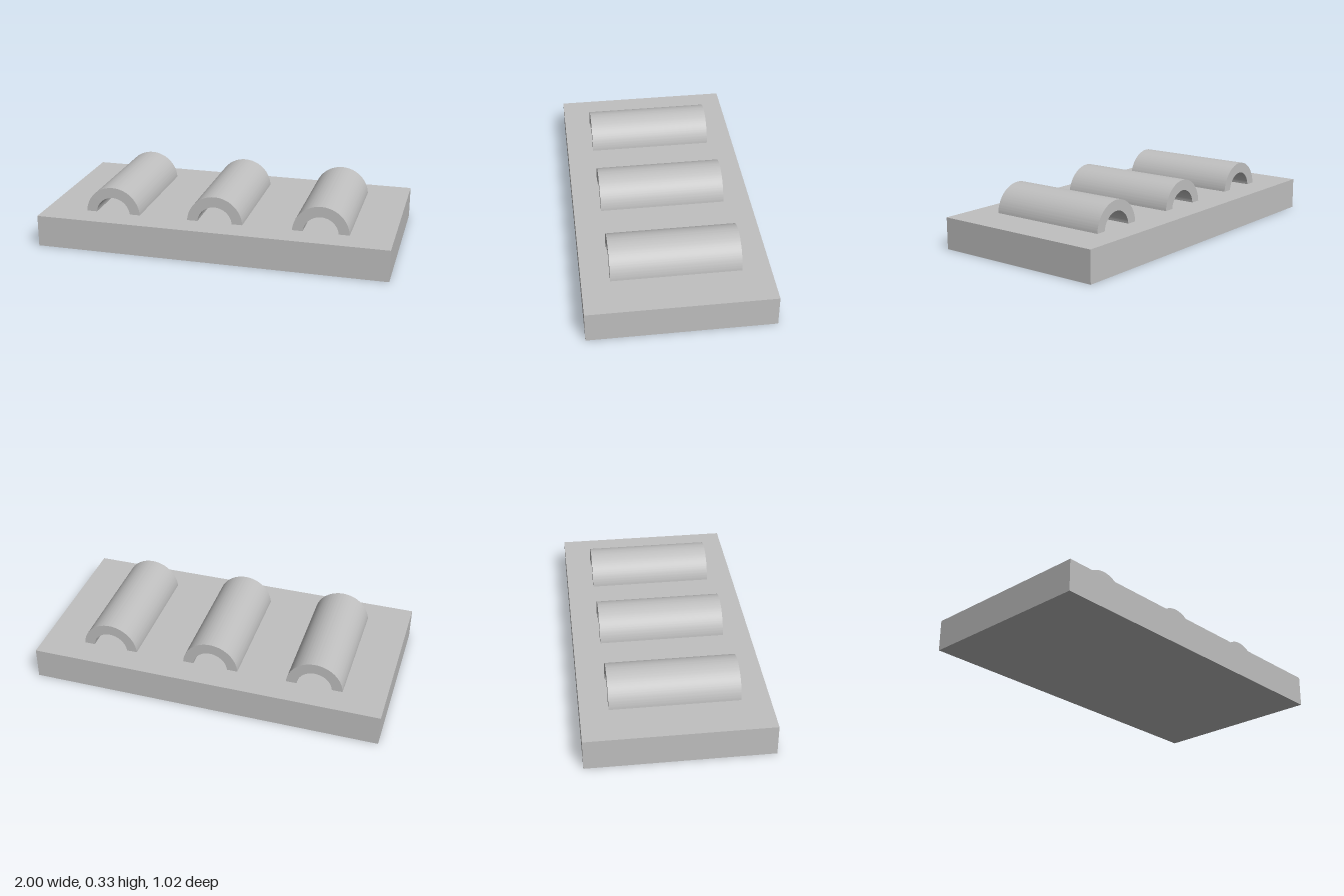
import * as THREE from 'three';
import { toCreasedNormals } from 'three/addons/utils/BufferGeometryUtils.js';

const BASE = { width: 2, height: 0.18, depth: 1.02 };
const ARCH = { outer: 0.16, inner: 0.1, length: 0.71, spacing: 0.6, centreY: 0.17 };

// Half-pipe running along z, open side down
function archGeometry() {
  const shape = new THREE.Shape();
  shape.absarc(0, 0, ARCH.outer, 0, Math.PI, false);
  shape.absarc(0, 0, ARCH.inner, Math.PI, 0, true);
  shape.closePath();
  const geometry = new THREE.ExtrudeGeometry(shape, {
    depth: ARCH.length, bevelEnabled: false, curveSegments: 40,
  });
  geometry.translate(0, 0, -ARCH.length / 2);
  return toCreasedNormals(geometry, Math.PI / 6);
}

export function createModel() {
  const model = new THREE.Group();
  model.name = 'archedPlate';
  const grey = new THREE.MeshStandardMaterial({ color: 0xc0c0c0 });
  grey.name = 'light grey';

  // Flat slab
  const base = new THREE.Mesh(new THREE.BoxGeometry(BASE.width, BASE.height, BASE.depth), grey);
  base.name = 'basePlate';
  base.position.y = BASE.height / 2;
  model.add(base);

  // Three arches, feet sunk slightly into the slab
  const geometry = archGeometry();
  ['rightArch', 'middleArch', 'leftArch'].forEach((name, i) => {
    const arch = new THREE.Mesh(geometry, grey);
    arch.name = name;
    arch.position.set((i - 1) * ARCH.spacing, ARCH.centreY, 0);
    model.add(arch);
  });

  return model;
}
